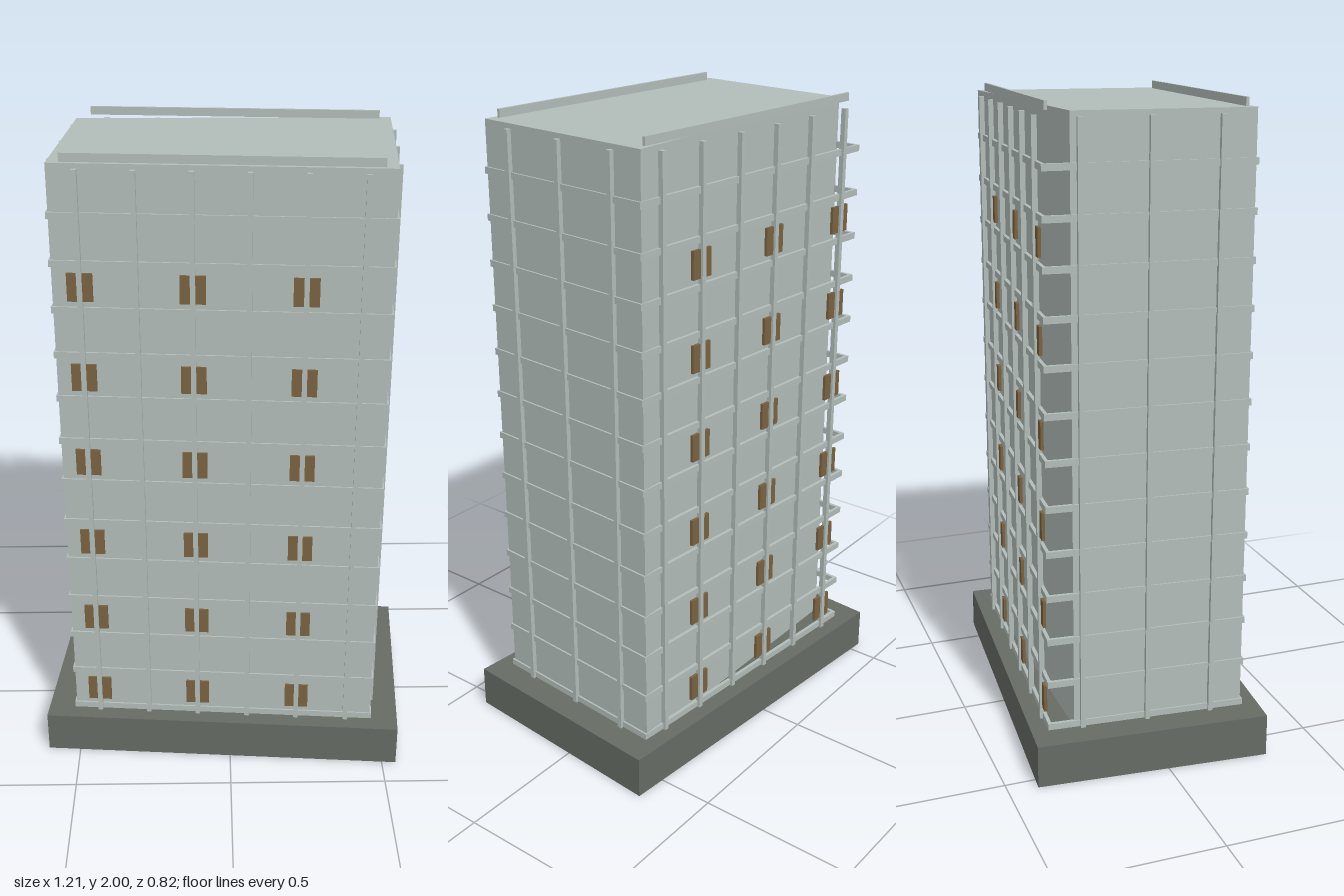
import * as THREE from 'three';

const ANGLE = -0.0815;           // the tower stands slightly turned on its plot
const W = 0.972, D = 0.612;      // facade grid width and depth
const BASE_TOP = 0.135, ROOF = 1.975;

export function createModel() {
  const concrete = new THREE.MeshStandardMaterial({ color: 0xb2bdb9 });
  concrete.name = 'pale concrete';
  const plinthGrey = new THREE.MeshStandardMaterial({ color: 0x666b64 });
  plinthGrey.name = 'plinth grey';
  const brown = new THREE.MeshStandardMaterial({ color: 0x7a6240 });
  brown.name = 'brown panel';

  const model = new THREE.Group();
  model.name = 'towerBlock';
  const turned = new THREE.Group();
  turned.name = 'turnedParts';
  turned.rotation.y = ANGLE;
  model.add(turned);

  const box = (parent, name, mat, [w, h, d], [x, y, z]) => {
    const mesh = new THREE.Mesh(new THREE.BoxGeometry(w, h, d), mat);
    mesh.name = name;
    mesh.position.set(x, y, z);
    parent.add(mesh);
  };
  const group = (name) => {
    const g = new THREE.Group();
    g.name = name;
    turned.add(g);
    return g;
  };

  // Plinth, a hair above the ground so the body's underside shows
  box(turned, 'plinth', plinthGrey, [1.154, BASE_TOP - 0.001, 0.726], [0, BASE_TOP / 2 + 0.0005, 0]);

  // Body: turned at front and sides, its back wall cut square
  const plan = [[-0.509, 0.265], [0.459, 0.345], [0.509, -0.269], [-0.466, -0.269]];
  const shape = new THREE.Shape(plan.map(([x, z]) => new THREE.Vector2(x, -z)));
  const bodyGeometry = new THREE.ExtrudeGeometry(shape, { depth: ROOF, bevelEnabled: false });
  bodyGeometry.rotateX(-Math.PI / 2);
  const body = new THREE.Mesh(bodyGeometry, concrete);
  body.name = 'body';
  model.add(body);

  // Floor bands running all the way round
  const bands = group('floorBands');
  const t = 0.011;
  for (let i = 0; i < 13; i++) {
    const y = 0.147 + i * 0.14;
    for (const s of [-1, 1]) {
      box(bands, 'longBand', concrete, [W + t, 0.02, t], [0, y, s * D / 2]);
      box(bands, 'shortBand', concrete, [t, 0.02, D - t], [s * W / 2, y, 0]);
    }
  }

  // Vertical mullions, one in the middle of each bay
  const mullions = group('mullions');
  const top = 1.96, h = top - BASE_TOP, my = (top + BASE_TOP) / 2;
  const bayX = (i) => (i - 2.5) * W / 6;
  for (const s of [-1, 1]) {
    for (let i = 0; i < 6; i++) {
      box(mullions, 'longSideMullion', concrete, [0.015, h, 0.016], [bayX(i), my, s * (D / 2 + 0.006)]);
    }
    for (let i = -1; i <= 1; i++) {
      box(mullions, 'endMullion', concrete, [0.016, h, 0.015], [s * (W / 2 + 0.006), my, i * D / 3]);
    }
  }

  // Brown panels behind every other mullion, on alternate floors
  const panels = group('panels');
  for (const s of [-1, 1]) {
    for (const bay of [0, 2, 4]) {
      for (let floor = 0; floor < 6; floor++) {
        box(panels, 'panel', brown, [0.075, 0.085, 0.0095], [bayX(bay), 0.217 + floor * 0.28, s * (D / 2 + 0.002)]);
      }
    }
  }

  // Roof rails along the two long sides
  for (const s of [-1, 1]) {
    box(turned, 'roofRail', concrete, [0.9, 0.025, 0.009], [0, ROOF + 0.0125, s * 0.288]);
  }
  return model;
}
